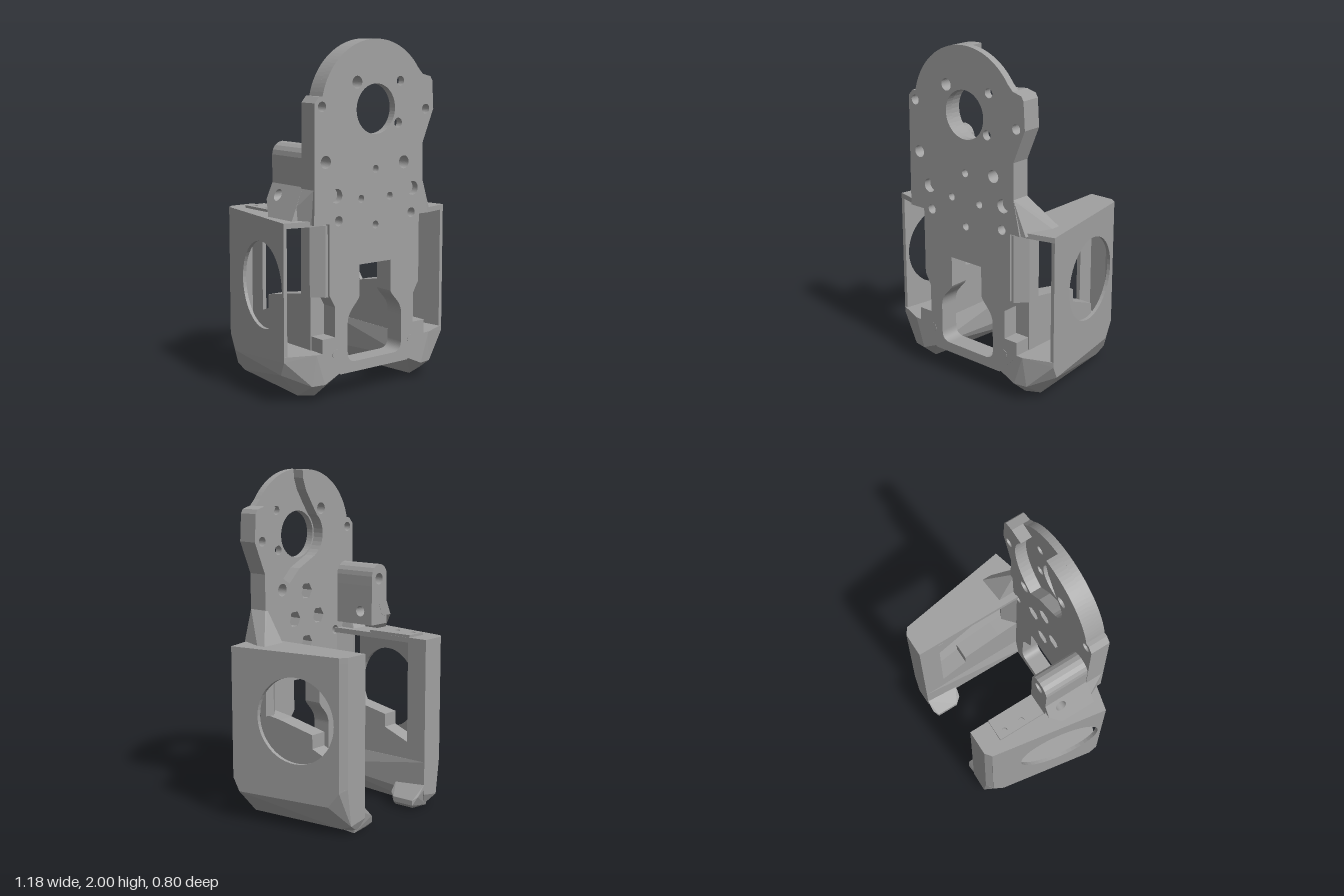
import * as THREE from 'three';
import { ConvexGeometry } from 'three/addons/geometries/ConvexGeometry.js';

const V2 = ([x, y]) => new THREE.Vector2(x, y);
const circle = (x, y, r) => new THREE.Path().absarc(x, y, r, 0, Math.PI * 2);
const hexagon = (x, y, r) => new THREE.Path([0, 1, 2, 3, 4, 5, 6].map(i =>
  V2([x + r * Math.cos(i * Math.PI / 3), y + r * Math.sin(i * Math.PI / 3)])));
// Points along an arc, angles in degrees
const arc = (cx, cy, r, a0, a1, n) => Array.from({ length: n + 1 }, (_, i) => {
  const a = (a0 + (a1 - a0) * i / n) * Math.PI / 180;
  return [cx + r * Math.cos(a), cy + r * Math.sin(a)];
});

// Prism along z from an (x, y) outline
function prismZ(pts, z0, z1, holes = []) {
  const shape = new THREE.Shape(pts.map(V2));
  shape.holes.push(...holes);
  return new THREE.ExtrudeGeometry(shape, { depth: z1 - z0, bevelEnabled: false, curveSegments: 24 }).translate(0, 0, z0);
}
// Prism along x from a (z, y) outline
const prismX = (pts, x0, x1, holes) => prismZ(pts, 0, x1 - x0, holes).rotateY(-Math.PI / 2).translate(x1, 0, 0);
// Prism along y from an (x, z) outline
const prismY = (pts, y0, y1, holes) =>
  prismZ(pts.map(([x, z]) => [x, -z]), 0, y1 - y0, holes).rotateX(-Math.PI / 2).translate(0, y0, 0);
const hull = pts => new ConvexGeometry(pts.map(p => new THREE.Vector3(...p)));

// Shift x by a rule of y and z, to slant a panel
function shearX(geo, shift) {
  const p = geo.attributes.position;
  for (let i = 0; i < p.count; i++) p.setX(i, p.getX(i) + shift(p.getY(i), p.getZ(i)));
  geo.computeVertexNormals();
  return geo;
}

// Mirror a geometry in x, keeping its faces outward
function mirrored(geo) {
  geo.deleteAttribute('uv');
  const p = geo.attributes.position, a = new THREE.Vector3(), b = new THREE.Vector3();
  geo.scale(-1, 1, 1);
  for (let i = 0; i < p.count; i += 3) {
    a.fromBufferAttribute(p, i + 1);
    b.fromBufferAttribute(p, i + 2);
    p.setXYZ(i + 1, b.x, b.y, b.z);
    p.setXYZ(i + 2, a.x, a.y, a.z);
  }
  geo.computeVertexNormals();
  return geo;
}

export function createModel() {
  const model = new THREE.Group();
  model.name = 'toolheadMount';
  const grey = new THREE.MeshStandardMaterial({ color: 0xa0a0a0 });
  grey.name = 'grey';
  const add = (name, geo, parent = model) => {
    const mesh = new THREE.Mesh(geo, grey);
    mesh.name = name;
    parent.add(mesh);
  };

  // Front plate outline: round head, ears and legs
  const head = (a0, a1, n) => arc(0, 1.615, 0.385, a0, a1, n);
  const leg = [[0.33, 1.0], [0.33, 0.6], [0.29, 0.53], [0.29, 0.36], [0.38, 0.36], [0.38, 0.27], [0.25, 0.14]];
  const sides = [
    [-0.4, 1.695], [-0.43, 1.66], [-0.435, 1.0],
    ...leg.map(([x, y]) => [-x, y]), ...leg.slice().reverse(),
    [0.4, 1.0], [0.355, 1.2], [0.355, 1.41], [0.435, 1.6], [0.425, 1.76], [0.41, 1.785], [0.35, 1.8],
  ];
  const opening = () => {
    const p = new THREE.Path();
    p.moveTo(0.115, 0.75);
    p.lineTo(-0.115, 0.75);
    p.lineTo(-0.115, 0.57);
    p.bezierCurveTo(-0.14, 0.52, -0.2, 0.5, -0.2, 0.42);
    p.lineTo(-0.2, 0.26);
    p.quadraticCurveTo(-0.2, 0.2, -0.14, 0.2);
    p.lineTo(0.14, 0.2);
    p.quadraticCurveTo(0.2, 0.2, 0.2, 0.26);
    p.lineTo(0.2, 0.42);
    p.bezierCurveTo(0.2, 0.5, 0.14, 0.52, 0.115, 0.57);
    p.closePath();
    return p;
  };
  const through = [[-0.135, 1.765, 0.035], [-0.38, 1.64, 0.028], [0.375, 1.6, 0.028], [-0.355, 1.34, 0.035],
    [0.21, 1.305, 0.037], [-0.265, 1.01, 0.028], [0.27, 1.01, 0.028]];
  const nuts = [[0, 1.28, 0.022], [-0.105, 1.12, 0.022], [0.105, 1.12, 0.022], [0, 0.965, 0.022]];
  const frontOnly = [[0, 1.615, 0.14], [0.18, 1.765, 0.027], [0.165, 1.53, 0.028], [-0.28, 1.15, 0.04], [0.28, 1.15, 0.04]];
  add('frontPlate', prismZ([...head(35, 168, 36), ...sides], 0.355, 0.4,
    [opening(), ...[...through, ...nuts, ...frontOnly].map(h => circle(...h))]));

  // Thick back layer, cut away around the motor up to the rim, with nut pockets
  const recess = [...arc(0, 1.615, 0.315, 34, -62, 16), [0.06, 1.42],
    ...arc(0, 1.615, 0.15, 250, 130, 12), [-0.05, 1.8], [0, 1.88], [0.025, 1.95]];
  add('backLayer', prismZ([...recess, ...head(86, 168, 24), ...sides], 0.283, 0.355,
    [opening(), ...through.map(h => circle(...h)), ...nuts.map(([x, y]) => hexagon(x, y, 0.05))]));

  // Hollow side pods
  for (const s of [1, -1]) {
    const pod = new THREE.Group();
    pod.name = s > 0 ? 'leftPod' : 'rightPod';
    model.add(pod);
    const put = (name, geo) => add(name, s > 0 ? geo : mirrored(geo), pod);

    // Tapered outer wall with round fan hole
    put('outerWall', shearX(prismX([[0.33, 1.018], [-0.37, 1.018], [-0.37, 0.28], [0.33, 0.28]], 0.568, 0.59,
      [circle(s > 0 ? -0.09 : 0.06, 0.635, 0.248)]), (y, z) => -0.171 * (0.33 - z)));

    put('topPanel', prismY([[0.33, 0.37], [0.43, 0.37], [0.59, 0.33], [0.47, -0.37], [0.43, -0.4], [0.28, -0.4], [0.28, 0.3], [0.33, 0.3]], 0.99, 1.02));
    put('backWall', prismY([[0.469, -0.369], [0.43, -0.4], [0.28, -0.4], [0.28, -0.27], [0.305, -0.27],
      [0.305, -0.375], [0.415, -0.375], [0.447, -0.355]], 0.28, 0.99));
    put('ductGuide', prismX([[0.3, 0.6], [0.15, 0.58], [-0.1, 0.53], [-0.1, 0.45], [-0.28, 0.38], [-0.28, 0.275], [0.3, 0.275]], 0.281, 0.385));
    put('frontPost', prismY([[0.32, 0.385], [0.345, 0.385], [0.405, 0.32], [0.405, 0.24], [0.36, 0.22], [0.281, 0.285]], 0.59, 0.99));

    // Chamfered lower block, flush with the plate at its inner front
    put('lowerBlock', hull([
      [0.28, 0.28, 0.399], [0.42, 0.28, 0.399], [0.59, 0.28, 0.33], [0.47, 0.28, -0.37], [0.43, 0.28, -0.4], [0.28, 0.28, -0.4],
      [0.59, 0.25, 0.33], [0.583, 0.17, 0.29], [0.482, 0.17, -0.3], [0.47, 0.26, -0.37],
      [0.25, 0.15, 0.399], [0.36, 0.1, 0.399], [0.44, 0.1, 0.385], [0.27, 0.14, 0.3],
      [0.36, 0.015, 0.3], [0.46, 0.03, 0.28], [0.4, 0.03, -0.33], [0.31, 0.005, -0.37], [0.4, 0.06, -0.4], [0.28, 0.08, -0.4],
    ]));
    put('screwPlug', prismZ(arc(0.28, 0.26, 0.028, 0, 345, 23), 0.395, 0.402));
    // Air nozzle turned inward at the rear
    put('nozzle', hull([
      [0.19, 0.03, -0.38], [0.19, 0.06, -0.38], [0.19, 0.03, -0.24], [0.19, 0.06, -0.24], [0.22, 0.005, -0.36], [0.22, 0.005, -0.23],
      [0.34, 0, -0.37], [0.34, 0.01, -0.2], [0.22, 0.075, -0.2], [0.22, 0.08, -0.4], [0.28, 0.13, -0.19], [0.28, 0.14, -0.4],
      [0.34, 0.13, -0.19], [0.34, 0.14, -0.4],
    ]));
    // Sloping shoulder between plate and pod
    const [a, b] = s > 0 ? [0.355, 0.49] : [0.43, 0.51];
    put('shoulder', hull([[a - 0.02, 1.2, 0.285], [a, 1.2, 0.285], [a, 1.2, 0.399], [a - 0.02, 1.2, 0.399],
      [0.34, 1.0, 0.399], [0.43, 1.0, 0.385], [b, 1.015, 0.22], [b, 1.015, 0.165], [0.32, 1.015, 0.18], [0.32, 1.0, 0.285]]));
  }

  // Rear bracket: bored rounded ridge on a cross-drilled foot with a sloping flange
  add('bracketRidge', prismZ([[-0.43, 1.19], [-0.285, 1.19], [-0.285, 1.3], ...arc(-0.358, 1.358, 0.072, 0, 180, 8), [-0.43, 1.32]],
    0.01, 0.283, [circle(-0.355, 1.34, 0.035)]));
  add('bracketFoot', prismX([[0.011, 1.06], [0.283, 1.06], [0.283, 1.199], [0.011, 1.199]], -0.43, -0.285, [circle(0.1, 1.14, 0.032)]));
  add('bracketFlange', shearX(prismX([[0.3, 1.02], [0.08, 1.02], [0.01, 1.11], [0.01, 1.2], [0.29, 1.2]], -0.43, -0.35,
    [circle(0.1, 1.14, 0.032)]), y => -0.45 * (1.2 - y)));

  // Drilled pad on the right pod
  add('topPad', prismY([[-0.415, -0.28], [-0.281, -0.28], [-0.281, 0.02], [-0.415, 0.02]], 1.015, 1.035,
    [circle(-0.38, 0.23, 0.016), circle(-0.38, 0.115, 0.016)]));
  return model;
}
